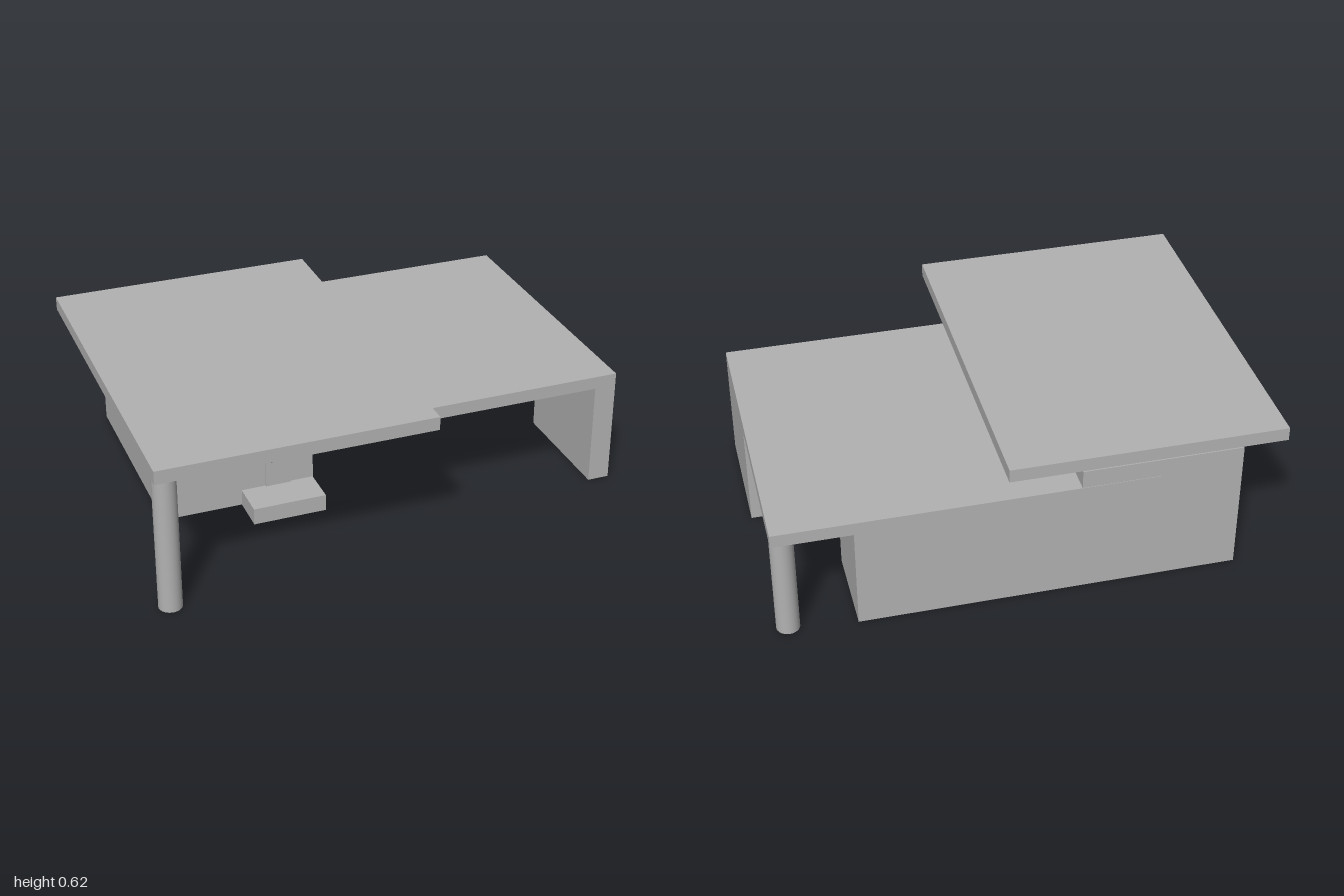
import * as THREE from 'three';

export function createModel() {
  const house = new THREE.Group();
  house.name = 'house';
  const plaster = new THREE.MeshStandardMaterial({ color: 0xb2b2b2 });
  plaster.name = 'grey plaster';

  const add = (name, geometry, x = 0, y = 0, z = 0) => {
    const mesh = new THREE.Mesh(geometry, plaster);
    mesh.name = name;
    mesh.position.set(x, y, z);
    house.add(mesh);
    return mesh;
  };
  // Box given by its lower and upper limits on each axis
  const box = (name, x0, x1, y0, y1, z0, z1) =>
    add(name, new THREE.BoxGeometry(x1 - x0, y1 - y0, z1 - z0),
      (x0 + x1) / 2, (y0 + y1) / 2, (z0 + z1) / 2);
  const column = (name, x, z, height) =>
    add(name, new THREE.CylinderGeometry(0.046, 0.046, height, 32), x, height / 2, z);

  // Two house blocks
  box('tallBlock', -0.82, -0.183, 0.003, 0.56, -0.76, 0.145);
  box('lowBlock', -0.183, 0.69, 0.003, 0.432, -0.76, -0.39);

  // Flat roofs at two heights
  box('upperRoof', -1, 0.1, 0.56, 0.615, -0.755, 0.76);
  box('lowerRoof', -0.49, 1, 0.432, 0.485, -0.762, 0.475);

  // Roof supports
  column('frontColumn', -0.953, 0.714, 0.56);
  column('backColumn', 0.954, -0.715, 0.432);
  box('supportWall', 0.91, 1, 0.003, 0.432, -0.037, 0.475);

  // Entrance: large panel, step, door and knob
  box('frontPanel', -0.792, -0.492, 0.025, 0.535, 0.14, 0.154);
  box('entranceStep', -0.488, -0.184, 0, 0.07, -0.02, 0.3);
  box('door', -0.386, -0.28, 0.07, 0.322, 0.14, 0.152);
  add('doorKnob', new THREE.SphereGeometry(0.009, 16, 12), -0.364, 0.19, 0.158);

  // Wall lamps on both sides of the door
  for (const x of [-0.435, -0.228]) {
    add('lampShade', new THREE.ConeGeometry(0.037, 0.07, 32), x, 0.34, 0.15);
    const ring = add('lampRing', new THREE.TorusGeometry(0.038, 0.009, 12, 32), x, 0.271, 0.15);
    ring.rotation.x = Math.PI / 2;
  }

  // Window frame with two by three openings
  const rect = (path, x0, y0, x1, y1) => {
    path.moveTo(x0, y0);
    path.lineTo(x1, y0);
    path.lineTo(x1, y1);
    path.lineTo(x0, y1);
    path.closePath();
    return path;
  };
  const frame = rect(new THREE.Shape(), 0.065, 0.032, 0.486, 0.387);
  for (let col = 0; col < 2; col++) {
    for (let row = 0; row < 3; row++) {
      const x = 0.077 + col * 0.202, y = 0.043 + row * 0.112;
      frame.holes.push(rect(new THREE.Path(), x, y, x + 0.196, y + 0.106));
    }
  }
  add('windowFrame', new THREE.ExtrudeGeometry(frame, { depth: 0.022, bevelEnabled: false }), 0, 0, -0.392);

  return house;
}
